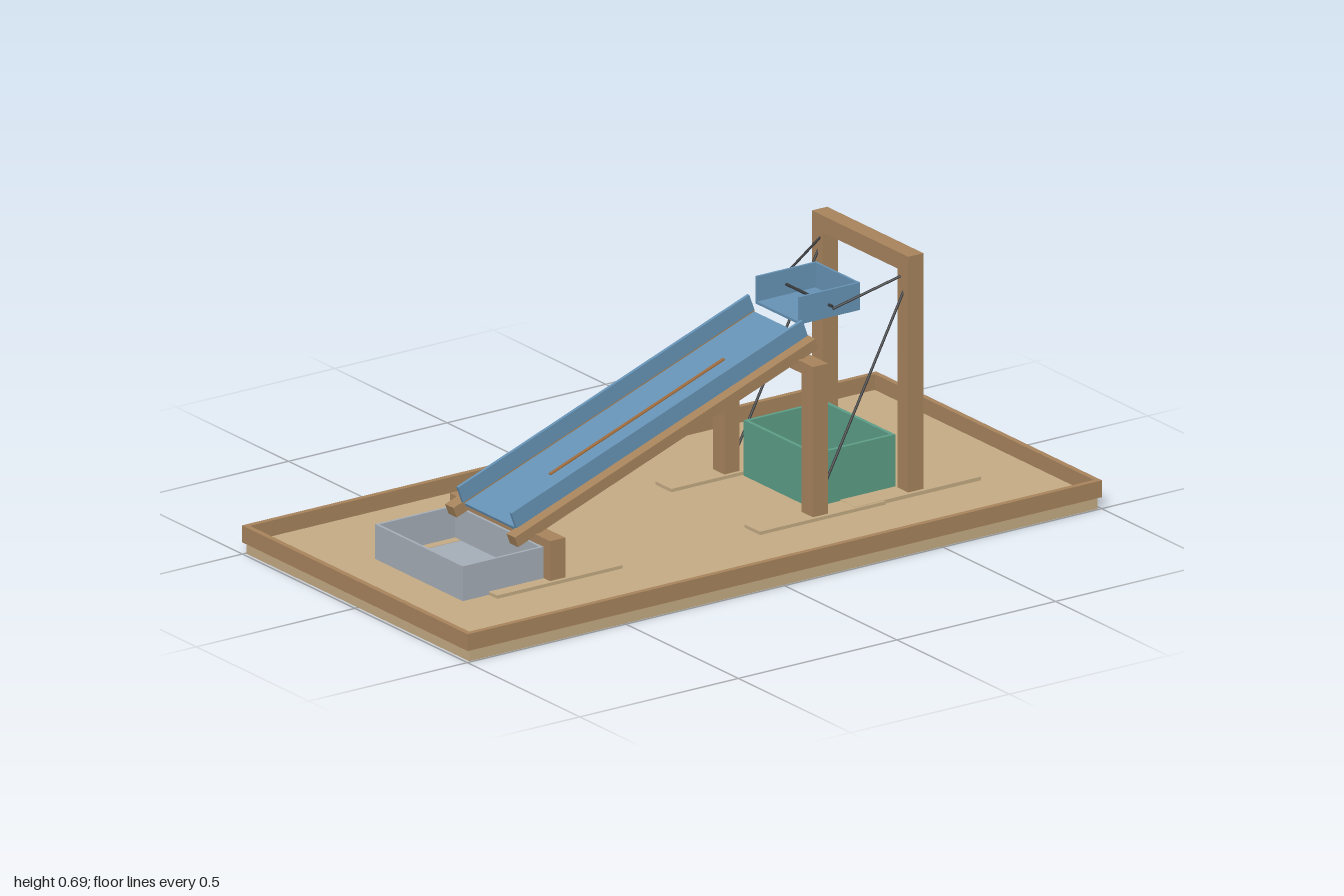
import * as THREE from 'three';

const mat = (name, color, side = THREE.FrontSide) => {
  const m = new THREE.MeshStandardMaterial({ color, side });
  m.name = name;
  return m;
};

export function createModel() {
  const wood = mat('wood', 0xa5825b);
  const sand = mat('pale board', 0xc2a982);
  const blue = mat('blue sheet', 0x6591b3);
  const green = mat('green bin', 0x5c9c85);
  const grey = mat('grey tray', 0xa3abb5);
  const dark = mat('dark cord', 0x37383a);
  const strip = mat('brown strip', 0x9b6a3c);

  const model = new THREE.Group();
  model.name = 'chuteRig';

  // Box given by its min and max along each axis
  const box = (name, m, [x0, x1], [y0, y1], [z0, z1], parent = model) => {
    const mesh = new THREE.Mesh(new THREE.BoxGeometry(x1 - x0, y1 - y0, z1 - z0), m);
    mesh.position.set((x0 + x1) / 2, (y0 + y1) / 2, (z0 + z1) / 2);
    mesh.name = name;
    parent.add(mesh);
    return mesh;
  };
  // The same box on both sides of z = 0
  const pair = (name, m, xs, ys, [z0, z1], parent = model) => {
    box(name, m, xs, ys, [z0, z1], parent);
    box(name, m, xs, ys, [-z1, -z0], parent);
  };
  // Thin round rod between two points
  const rod = (name, a, b, r) => {
    const p = new THREE.Vector3(...a), q = new THREE.Vector3(...b);
    const d = q.clone().sub(p);
    const mesh = new THREE.Mesh(new THREE.CylinderGeometry(r, r, d.length(), 8), dark);
    mesh.position.copy(p).add(q).multiplyScalar(0.5);
    mesh.quaternion.setFromUnitVectors(new THREE.Vector3(0, 1, 0), d.normalize());
    mesh.name = name;
    model.add(mesh);
  };

  // Base board with a raised rim
  const top = 0.035;
  box('baseBoard', sand, [-0.99, 0.99], [0, top], [-0.495, 0.495]);
  pair('longRim', wood, [-1, 1], [0.032, 0.078], [0.487, 0.502]);
  for (const s of [-1, 1]) {
    const xs = s > 0 ? [0.985, 1] : [-1, -0.985];
    box('endRim', wood, xs, [0.032, 0.078], [-0.487, 0.487]);
  }

  // Trestles: foot plates, posts and a cross beam
  const trestle = (name, x, h, beam, z0, z1, footTop) => {
    const g = new THREE.Group();
    g.name = name;
    model.add(g);
    const xs = [x - 0.024, x + 0.024], zc = (z0 + z1) / 2;
    pair('footPlate', sand, [x - 0.198, x + 0.198], [top, footTop], [zc - 0.035, zc + 0.035], g);
    pair('post', wood, xs, [top, h], [z0, z1], g);
    box('crossBeam', wood, xs, [h - beam, h], [-z0, z0], g);
  };
  trestle('lowTrestle', -0.518, 0.153, 0.032, 0.172, 0.222, 0.044);
  trestle('middleTrestle', 0.311, 0.455, 0.032, 0.172, 0.222, 0.044);
  trestle('tallFrame', 0.617, 0.69, 0.046, 0.166, 0.214, 0.045);

  // Sloping chute, built level with its origin on the rail top, then tilted
  const chute = new THREE.Group();
  chute.name = 'chute';
  chute.position.set(-0.1317, 0.3286, 0);
  chute.rotation.z = THREE.MathUtils.degToRad(20);
  model.add(chute);
  pair('rail', wood, [-0.504, 0.504], [-0.03, 0], [0.118, 0.155], chute);
  pair('chuteWall', blue, [-0.474, 0.503], [0, 0.047], [0.114, 0.123], chute);
  box('chuteFloor', blue, [-0.474, 0.498], [-0.008, 0], [-0.109, 0.109], chute);
  box('chuteStrip', strip, [-0.27, 0.315], [0, 0.003], [-0.005, 0.005], chute);

  // Open-topped bins: four walls, optional floor, optional open end at -x
  const bin = (name, m, [x0, x1], [y0, y1], z, t, floor, openEnd) => {
    const g = new THREE.Group();
    g.name = name;
    model.add(g);
    pair('sideWall', m, [x0, x1], [y0, y1], [z - t, z], g);
    box('endWall', m, [x1 - t, x1], [y0, y1], [t - z, z - t], g);
    if (!openEnd) box('endWall', m, [x0, x0 + t], [y0, y1], [t - z, z - t], g);
    if (floor) box('floor', m, [x0, x1 - t], [y0, y0 + t], [t - z, z - t], g);
  };
  bin('catchTray', grey, [-0.798, -0.543], [top, 0.13], 0.195, 0.008, true, false);
  bin('greenBin', green, [0.337, 0.593], [top, 0.187], 0.157, 0.01, false, false);
  bin('tippingBucket', blue, [0.332, 0.524], [0.525, 0.6], 0.098, 0.007, true, true);

  // Bucket axle, eyelets and cords
  rod('axle', [0.425, 0.56, -0.113], [0.425, 0.56, 0.113], 0.004);
  for (const s of [-1, 1]) {
    rod('bucketCord', [0.42, 0.557, 0.122 * s], [0.622, 0.638, 0.188 * s], 0.0035);
    rod('anchorCord', [0.338, 0.095, 0.19 * s], [0.617, 0.63, 0.19 * s], 0.0035);
    const eye = new THREE.Mesh(new THREE.TorusGeometry(0.012, 0.005, 8, 20), dark);
    eye.position.set(0.632, 0.633, 0.19 * s);
    eye.name = 'eyelet';
    model.add(eye);
  }

  return model;
}
